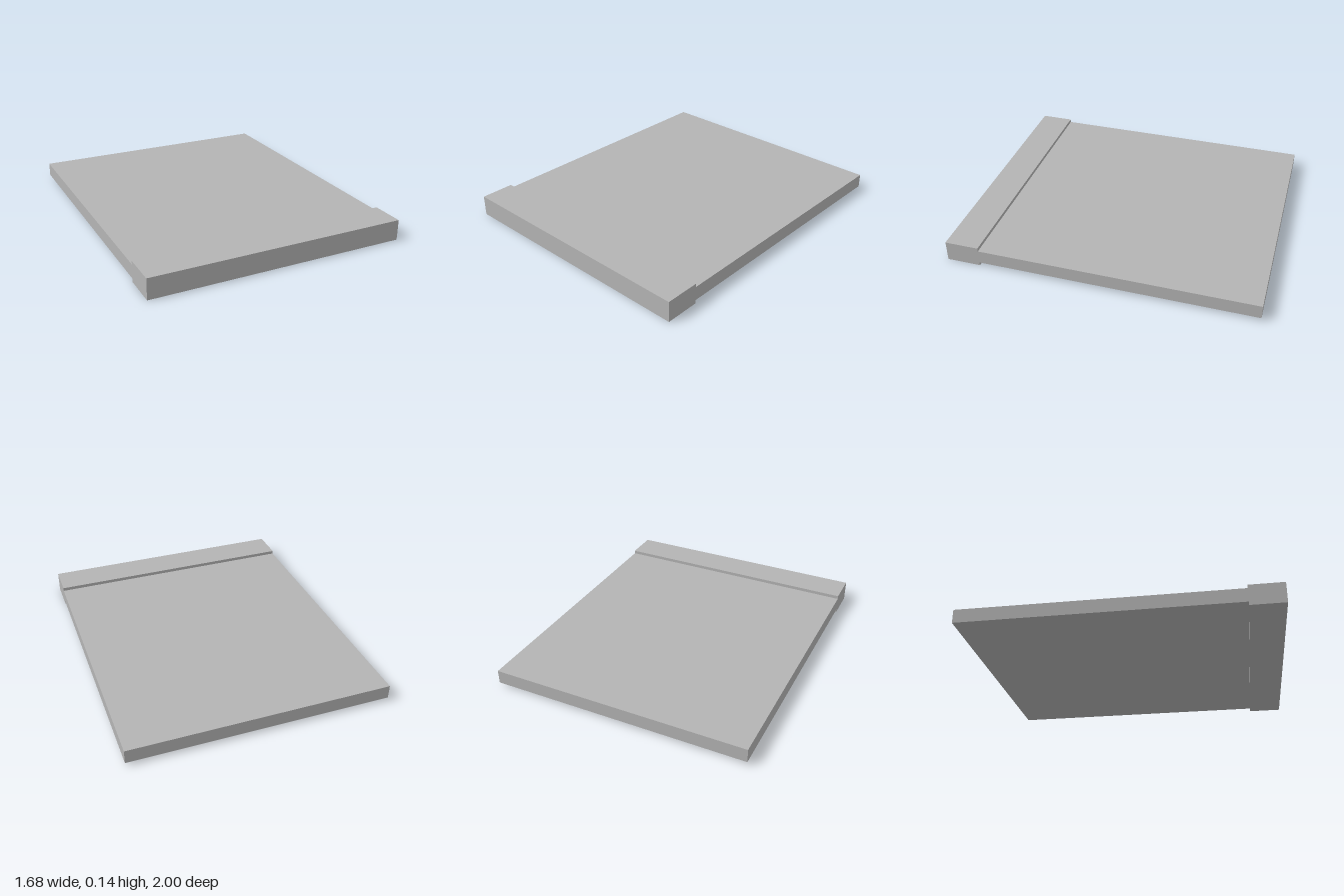
import * as THREE from 'three';

export function createModel() {
  const group = new THREE.Group();
  const grey = new THREE.MeshStandardMaterial({ color: 0xb4b4b4 });
  grey.name = 'grey';
  const width = 1.685, middle = 0.0675, step = 0.78;

  // Slab spanning the full width, vertically centred, from zBack to zFront
  const slab = (name, height, zBack, zFront) => {
    const mesh = new THREE.Mesh(new THREE.BoxGeometry(width, height, zFront - zBack), grey);
    mesh.name = name;
    mesh.position.set(0, middle, (zBack + zFront) / 2);
    group.add(mesh);
  };

  slab('panel', 0.09, -1, step); // thin main board
  slab('frontRail', 0.135, step, 1); // thicker front edge
  return group;
}
